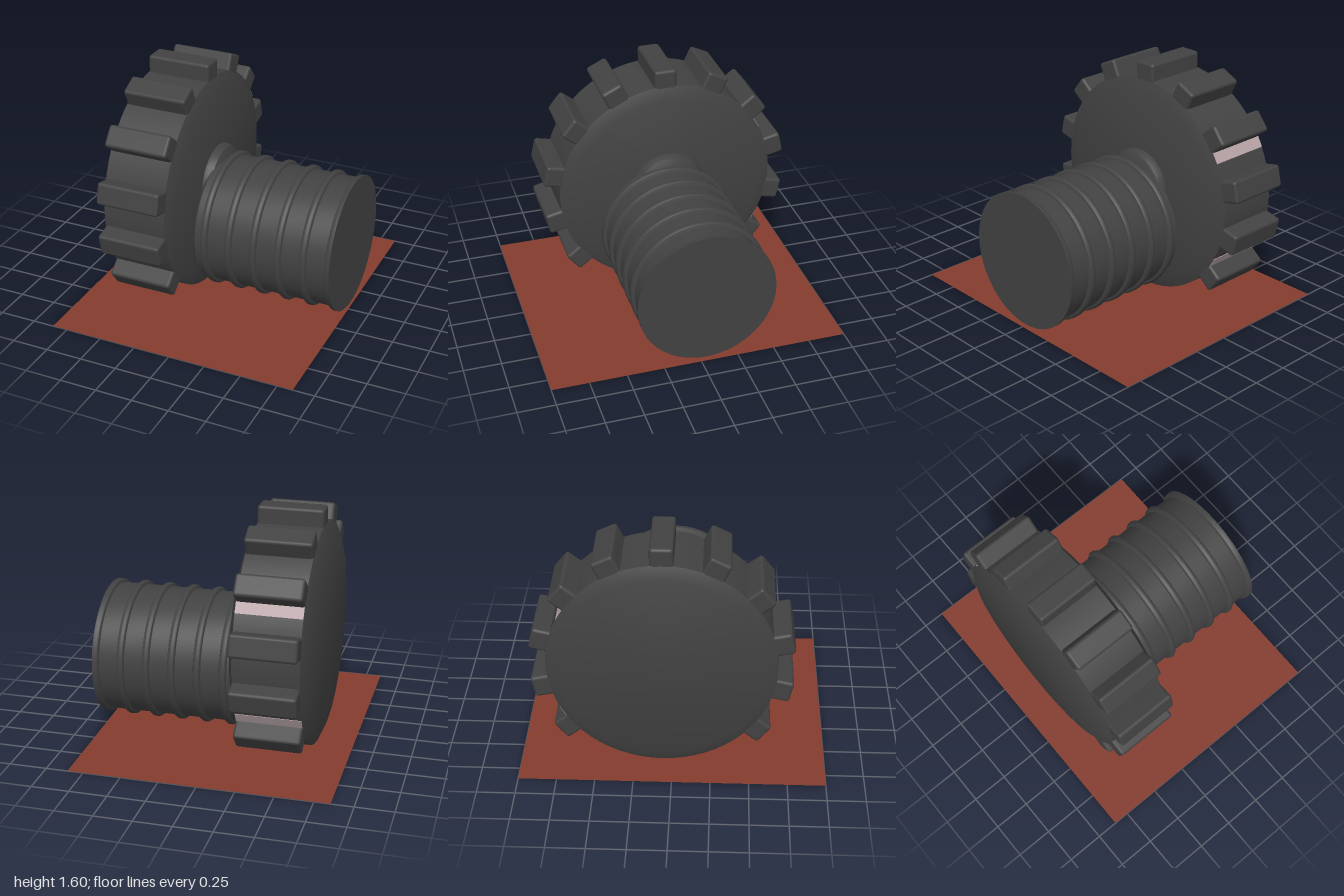
import * as THREE from 'three';
import { RoundedBoxGeometry } from 'three/addons/geometries/RoundedBoxGeometry.js';
import { toCreasedNormals } from 'three/addons/utils/BufferGeometryUtils.js';

const rubber = new THREE.MeshStandardMaterial({ color: 0x424242, name: 'darkGrey' });
const rust = new THREE.MeshStandardMaterial({ color: 0x843c2e, name: 'rustRed', side: THREE.DoubleSide });
const pink = new THREE.MeshStandardMaterial({ color: 0xb8a4a8, name: 'palePink', side: THREE.DoubleSide });

// Revolve [x, radius] pairs around the x axis
function turned(name, profile, y, z, segments = 64) {
  const points = profile.map(([x, r]) => new THREE.Vector2(r, x));
  const geometry = new THREE.LatheGeometry(points, segments).rotateZ(-Math.PI / 2);
  const mesh = new THREE.Mesh(toCreasedNormals(geometry, 0.6), rubber);
  mesh.name = name;
  mesh.position.set(0, y, z);
  return mesh;
}

export function createModel() {
  const model = new THREE.Group();
  model.name = 'cogWheelOnBase';
  const wheelY = 0.743, wheelZ = -0.07, wheelR = 0.743;

  // Base sheet
  const base = new THREE.Mesh(new THREE.PlaneGeometry(1.71, 2).rotateX(-Math.PI / 2), rust);
  base.name = 'baseSheet';
  base.position.y = 0.0015;
  model.add(base);

  // Wheel with chamfered rims
  model.add(turned('wheel', [
    [-0.645, 0], [-0.645, 0.66], [-0.61, wheelR],
    [-0.18, wheelR], [-0.145, 0.66], [-0.145, 0],
  ], wheelY, wheelZ));

  // Teeth, leaving the bottom of the wheel bare
  const teeth = new THREE.Group();
  teeth.name = 'teeth';
  teeth.position.set(-0.394, wheelY, wheelZ);
  const toothGeometry = new RoundedBoxGeometry(0.436, 0.17, 0.15, 2, 0.02);
  for (let k = -5; k <= 5; k++) {
    const a = (k * Math.PI * 2) / 14;
    const tooth = new THREE.Mesh(toothGeometry, rubber);
    tooth.name = 'tooth';
    tooth.position.set(0, Math.cos(a) * 0.77, -Math.sin(a) * 0.77);
    tooth.rotation.x = -a;
    teeth.add(tooth);
  }
  model.add(teeth);

  // Pale strips on the back of the rim
  for (const degrees of [60, 120]) {
    const a = THREE.MathUtils.degToRad(degrees);
    const strip = new THREE.Mesh(new THREE.BoxGeometry(0.43, 0.006, 0.075), pink);
    strip.name = 'rimStrip';
    strip.position.set(-0.395, wheelY + Math.cos(a) * 0.742, wheelZ - Math.sin(a) * 0.742);
    strip.rotation.x = -a;
    model.add(strip);
  }

  // Domed hub between wheel and drum
  model.add(turned('hub', [
    [-0.16, 0.255], [-0.125, 0.255], [-0.09, 0.24], [-0.065, 0.19], [-0.055, 0.12], [-0.055, 0],
  ], wheelY, wheelZ, 32));

  // Ribbed drum
  const profile = [[-0.13, 0], [-0.13, 0.39], [-0.098, 0.435]];
  for (let i = 0; i < 5; i++) {
    const x = -0.03 + i * 0.174;
    profile.push([x - 0.026, 0.435], [x - 0.02, 0.452], [x - 0.008, 0.46],
      [x + 0.008, 0.46], [x + 0.02, 0.452], [x + 0.026, 0.435]);
  }
  profile.push([0.814, 0.435], [0.82, 0.452], [0.832, 0.46], [0.855, 0.46], [0.855, 0]);
  model.add(turned('ribbedDrum', profile, 0.495, -0.035));

  return model;
}
